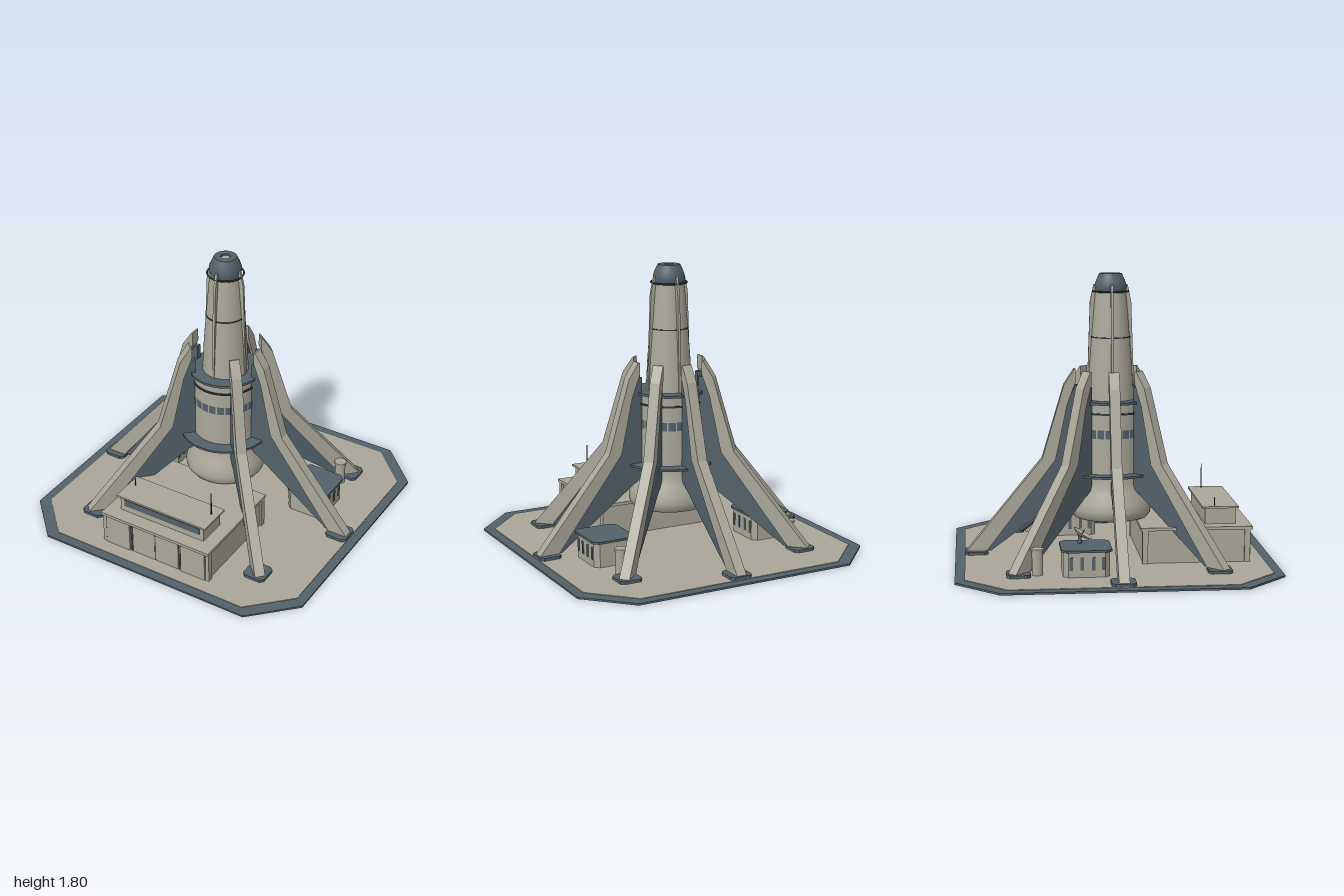
import * as THREE from 'three';
import { toCreasedNormals } from 'three/addons/utils/BufferGeometryUtils.js';

const material = (name, color) => {
  const m = new THREE.MeshStandardMaterial({ color, side: THREE.DoubleSide });
  m.name = name;
  return m;
};

export function createModel() {
  const model = new THREE.Group();
  model.name = 'towerBase';
  const light = material('paleConcrete', 0xaaa799);
  const dark = material('slateBlue', 0x526169);
  const black = material('darkMetal', 0x2f383d);

  const add = (name, geometry, mat, x = 0, y = 0, z = 0, parent = model) => {
    const mesh = new THREE.Mesh(geometry, mat);
    mesh.name = name;
    mesh.position.set(x, y, z);
    parent.add(mesh);
    return mesh;
  };
  // Box given by its extents on each axis
  const box = (name, mat, x0, x1, y0, y1, z0, z1) =>
    add(name, new THREE.BoxGeometry(x1 - x0, y1 - y0, z1 - z0), mat, (x0 + x1) / 2, (y0 + y1) / 2, (z0 + z1) / 2);
  const lathe = (name, points, mat, parent) => {
    const geo = new THREE.LatheGeometry(points.map(p => new THREE.Vector2(...p)), 40);
    return add(name, toCreasedNormals(geo, 0.6), mat, 0, 0, 0, parent);
  };
  const polygon = points => new THREE.Shape(points.map(p => new THREE.Vector2(...p)));
  // Chamfered rectangular slab lying flat
  const slab = (name, mat, w, d, cut, y0, y1, x = 0, z = 0) => {
    const a = w / 2, b = d / 2;
    const shape = polygon([[a, -b + cut], [a, b - cut], [a - cut, b], [-a + cut, b],
      [-a, b - cut], [-a, -b + cut], [-a + cut, -b], [a - cut, -b]]);
    const geo = new THREE.ExtrudeGeometry(shape, { depth: y1 - y0, bevelEnabled: false });
    geo.rotateX(-Math.PI / 2);
    return add(name, geo, mat, x, y0, z);
  };

  // Ground platform
  slab('platformRim', dark, 2, 2, 0.265, 0, 0.012);
  slab('platformDeck', light, 1.88, 1.88, 0.25, 0.012, 0.016);

  // Tower body
  lathe('lowerTower', [[0, 0.24], [0.2, 0.24], [0.235, 0.25], [0.255, 0.275], [0.26, 0.31], [0.25, 0.36],
    [0.225, 0.42], [0.207, 0.47], [0.205, 0.54], [0.205, 0.99]], light);
  lathe('upperTower', [[0.148, 0.99], [0.137, 1.2], [0.122, 1.4], [0.104, 1.62], [0.095, 1.7]], light);
  lathe('lowerFlange', [[0.2, 0.532], [0.288, 0.532], [0.288, 0.546], [0.2, 0.546]], dark);
  lathe('upperCollar', [[0.2, 0.99], [0.228, 0.99], [0.228, 1.006], [0.14, 1.006]], dark);
  lathe('bodyBand', [[0.204, 0.925], [0.213, 0.925], [0.213, 0.936], [0.204, 0.936]], black);
  lathe('neckBand', [[0.12, 1.4], [0.126, 1.4], [0.126, 1.407], [0.12, 1.407]], black);
  lathe('domeCap', [[0.08, 1.69], [0.096, 1.69], [0.101, 1.715], [0.1, 1.735], [0.09, 1.765],
    [0.071, 1.805], [0.03, 1.805], [0.03, 1.79]], dark);
  add('capVent', new THREE.CylinderGeometry(0.03, 0.03, 0.01, 6), light, 0, 1.79);
  const halo = add('haloRing', new THREE.TorusGeometry(0.113, 0.006, 6, 40), black, 0, 1.692);
  halo.rotation.x = Math.PI / 2;

  // Band of windows around the tower
  for (let i = 0; i < 24; i++) {
    const start = (i + 0.08) * Math.PI / 12;
    add('towerWindow', new THREE.CylinderGeometry(0.2075, 0.2075, 0.055, 3, 1, true, start, 0.84 * Math.PI / 12),
      dark, 0, 0.802);
  }

  // Flat profile (radius, height) given thickness and turned about the tower
  const radial = (name, points, width, mat, angle) => {
    const geo = new THREE.ExtrudeGeometry(polygon(points), { depth: width, bevelEnabled: false });
    geo.translate(0, 0, -width / 2);
    add(name, geo, mat).rotation.y = angle;
  };

  // Raised ribs on the upper tower
  for (let i = 0; i < 4; i++) {
    radial('towerRib', [[0.13, 1.0], [0.152, 1.0], [0.146, 1.2], [0.131, 1.63], [0.108, 1.735],
      [0.095, 1.735], [0.09, 1.66], [0.115, 1.4]], 0.016, light, i * Math.PI / 2);
  }

  // Seven buttresses, leaving the front open
  for (let i = 0; i < 8; i++) {
    if (i === 6) continue;
    const angle = i * Math.PI / 4;
    radial('buttressBeam', [[0.8, 0.03], [0.93, 0.03], [0.44, 0.63], [0.3, 1.1], [0.235, 1.2], [0.225, 1.2],
      [0.225, 1.12], [0.278, 0.98], [0.355, 0.62]], 0.066, light, angle);
    radial('buttressWeb', [[0.8, 0.032], [0.36, 0.62], [0.28, 0.98], [0.226, 1.1], [0.2, 1.1],
      [0.2, 0.45], [0.26, 0.41], [0.77, 0.032]], 0.034, dark, angle);
    const reach = i % 2 ? 0.87 : 0.865;
    slab('buttressFoot', dark, 0.148, 0.148, 0.022, 0.016, 0.034, Math.cos(angle) * reach, -Math.sin(angle) * reach);
  }

  // Front building
  box('hallWalls', light, -0.385, 0.385, 0.016, 0.224, 0.17, 0.838);
  box('hallRoof', light, -0.4, 0.4, 0.224, 0.244, 0.155, 0.858);
  box('hallDoor', light, -0.17, -0.005, 0.016, 0.215, 0.838, 0.844);
  box('hallDoor', light, 0.005, 0.17, 0.016, 0.215, 0.838, 0.844);
  box('doorSeam', dark, -0.005, 0.005, 0.016, 0.215, 0.836, 0.842);
  for (const s of [-1, 1]) {
    const wing = s * 0.28;
    box('hallFrontPanel', light, wing - 0.088, wing + 0.088, 0.016, 0.224, 0.838, 0.85);
    box('doorFrame', dark, s * 0.181 - 0.005, s * 0.181 + 0.005, 0.016, 0.22, 0.836, 0.844);
    for (const z of [0.182, 0.826]) {
      box('hallCornerPost', light, s * 0.385 - 0.012, s * 0.385 + 0.012, 0.016, 0.224, z - 0.018, z + 0.018);
    }
  }
  box('controlRoom', light, -0.31, 0.31, 0.244, 0.348, 0.57, 0.765);
  box('controlRoof', light, -0.33, 0.33, 0.346, 0.358, 0.55, 0.78);
  box('controlWindow', dark, -0.28, 0.28, 0.285, 0.332, 0.764, 0.769);

  // Roof antennas
  for (const [x, top] of [[-0.285, 0.41], [0.285, 0.52]]) {
    add('antenna', new THREE.CylinderGeometry(0.003, 0.004, top - 0.358, 6), black, x, (top + 0.358) / 2, 0.633);
  }

  // Side blocks and storage tanks
  for (const s of [-1, 1]) {
    const cx = s * 0.565;
    slab('sideBlock', light, 0.26, 0.285, 0.03, 0.016, 0.17, cx, -0.205);
    slab('sideBlockRoof', dark, 0.288, 0.31, 0.032, 0.17, 0.184, cx, -0.205);
    for (const side of [-1, 1]) {
      for (const z of [-0.105, -0.165, -0.235, -0.3]) {
        const x = cx + side * 0.131;
        box('sideBlockWindow', dark, x - 0.003, x + 0.003, 0.06, 0.14, z - 0.01, z + 0.01);
      }
    }
    add('tank', new THREE.CylinderGeometry(0.034, 0.034, 0.15, 20), light, s * 0.6, 0.091, -0.5);
    add('tankLid', new THREE.CylinderGeometry(0.04, 0.04, 0.014, 20), light, s * 0.6, 0.171, -0.5);
  }

  // Dish on the right side block
  add('dishPost', new THREE.CylinderGeometry(0.009, 0.014, 0.05, 8), dark, -0.5, 0.208, -0.235);
  const dish = new THREE.Group();
  dish.name = 'dish';
  dish.position.set(-0.5, 0.225, -0.23);
  dish.rotation.x = 0.55;
  lathe('dishBowl', [[0, 0], [0.03, 0.005], [0.05, 0.014], [0.065, 0.027]], light, dish);
  add('dishFeed', new THREE.CylinderGeometry(0.003, 0.003, 0.05, 6), black, 0, 0.025, 0, dish);
  model.add(dish);

  return model;
}
